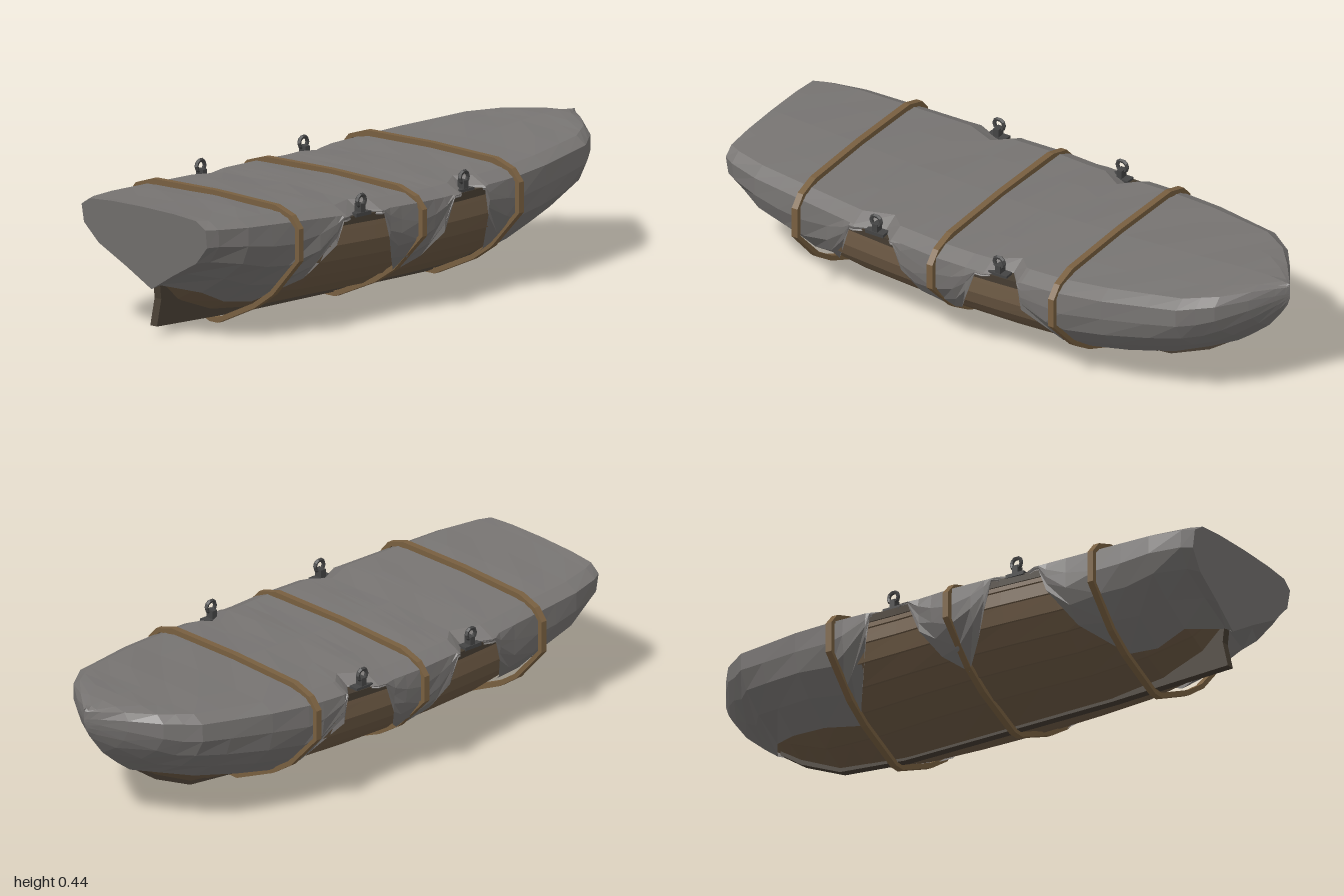
import * as THREE from 'three';

// Piecewise-linear lookup in a table of [x, value] pairs
function at(table, x) {
  if (x <= table[0][0]) return table[0][1];
  for (let i = 1; i < table.length; i++) {
    const [x0, v0] = table[i - 1], [x1, v1] = table[i];
    if (x <= x1) return v0 + (v1 - v0) * (x - x0) / (x1 - x0);
  }
  return table[table.length - 1][1];
}

// Lines of the boat along its length (bow at +x)
const KEEL = [[-0.95, 0.17], [-0.85, 0.1], [-0.7, 0.045], [-0.5, 0.022], [0.3, 0.016], [0.55, 0.042],
  [0.7, 0.11], [0.8, 0.175], [0.88, 0.235], [0.94, 0.29], [0.99, 0.37], [1, 0.4]];
const RIM = [[-0.95, 0.39], [-0.5, 0.365], [0, 0.36], [0.4, 0.37], [0.8, 0.4], [1, 0.42]];
const BEAM = [[-1, 0.285], [-0.97, 0.305], [-0.85, 0.338], [-0.66, 0.358], [-0.45, 0.378], [-0.12, 0.4],
  [0.2, 0.388], [0.34, 0.385], [0.5, 0.362], [0.75, 0.298], [0.85, 0.22], [0.92, 0.125], [1, 0]];
// Cover: crown height, lower edge, and how far it is pulled in at the oarlocks
const CROWN = [[-1, 0.435], [-0.66, 0.42], [-0.4, 0.408], [0, 0.4], [0.34, 0.41], [0.6, 0.425], [0.9, 0.445], [1, 0.435]];
const EDGE = [[-1, 0.17], [-0.93, 0.165], [-0.85, 0.145], [-0.75, 0.1], [-0.66, 0.09], [-0.55, 0.17], [-0.48, 0.28],
  [-0.455, 0.355], [-0.28, 0.355], [-0.25, 0.27], [-0.2, 0.19], [-0.12, 0.12], [-0.05, 0.17], [0, 0.25], [0.04, 0.355],
  [0.195, 0.355], [0.21, 0.27], [0.3, 0.13], [0.36, 0.085], [0.5, 0.115], [0.65, 0.14], [0.8, 0.172]];
const NOTCH = [[-0.44, 0], [-0.34, 0.052], [-0.29, 0], [0.07, 0], [0.15, 0.06], [0.2, 0]];
// Half section: height fraction to width fraction, drawn finer towards the ends
const SECTION = [[0, 0], [0.16, 0.45], [0.34, 0.7], [0.55, 0.9], [0.7, 0.98], [1, 1]];
const FINENESS = [[-1, 1.9], [-0.7, 1.15], [-0.4, 1], [0.2, 1], [0.5, 1.3], [0.8, 1.3], [1, 1.15]];
const breadth = (x, f) => Math.pow(at(SECTION, f), at(FINENESS, x));

const paint = (color) => new THREE.MeshStandardMaterial({ color, flatShading: true, side: THREE.DoubleSide });
const CLOTH = paint(0x777472), WOOD = paint(0x6b5843), DARK = paint(0x453c31),
  ROPE = paint(0x785f40), IRON = paint(0x444444);

function add(group, name, geometry, material) {
  const mesh = new THREE.Mesh(geometry, material);
  mesh.name = name;
  group.add(mesh);
  return mesh;
}

// Skin through rows of points
function skin(rows) {
  const n = rows[0].length, index = [];
  for (let i = 0; i < rows.length - 1; i++) {
    for (let j = 0; j < n - 1; j++) {
      const a = i * n + j, b = a + n;
      index.push(a, a + 1, b, a + 1, b + 1, b);
    }
  }
  const geometry = new THREE.BufferGeometry();
  geometry.setAttribute('position', new THREE.Float32BufferAttribute(rows.flat(2), 3));
  geometry.setIndex(index);
  const flat = geometry.toNonIndexed();
  flat.computeVertexNormals();
  return flat;
}

const flip = ([x, y, z]) => [x, y, -z];

// Overlapping planks: each plank's lower edge stands proud of the one below
function hullHalf(x) {
  const k = at(KEEL, x), g = at(RIM, x), b = Math.max(0.004, at(BEAM, x) - 0.022);
  const steps = [0, 0.13, 0.27, 0.42, 0.58, 0.74, 0.88, 1], half = [];
  for (let i = 0; i < steps.length - 1; i++) {
    for (const [f, out] of [[steps[i], i ? 0.009 : 0], [steps[i + 1], 0]]) {
      const y = k + (g - k) * f;
      half.push([x + (x < -0.9 ? (0.39 - y) * 0.1 : 0), y, b * breadth(x, f) + out]);
    }
  }
  return half;
}

// Cover from the crown out over the rim and down the side
function coverHalf(x) {
  const top = at(CROWN, x), w = at(BEAM, x) - at(NOTCH, x);
  const k = at(KEEL, x) - 0.015, g = at(RIM, x);
  const closed = x > 0.79 || x < -0.99;
  const edge = closed ? k : Math.max(at(EDGE, x), k);
  const rim = top - 0.035;
  const sag = 0.003 * Math.sin(x * 23);
  const half = [[x, top, 0], [x, top - 0.005 + sag, w * 0.5], [x, top - 0.01, w * 0.84], [x, rim, w * 0.98]];
  for (let j = 1; j <= 4; j++) {
    const y = rim + (edge - rim) * j / 4;
    const fold = closed ? 0 : 0.002 * Math.sin(x * 17 + j * 2.1);
    half.push([x, y, Math.max(0, w * breadth(x, (y - k) / (g - k)) + fold)]);
  }
  // The stern rakes forward towards its foot
  const rake = Math.max(0, -0.9 - x) * 1.5;
  return half.map(([px, y, z]) => [px + (0.435 - y) * rake, y, z]);
}

function shapeOf(points) {
  return new THREE.Shape(points.map(([x, y]) => new THREE.Vector2(x, y)));
}

// Flat band looped around hull and cover
function strap(x, w, top) {
  const ring = (inset) => {
    const s = w - inset, t = top - inset, bottom = inset;
    const half = [[0.05, bottom], [0.48, 0.075 + inset * 0.8], [0.69, 0.13 + inset * 0.6], [1, 0.26],
      [1, top - 0.07], [0.91, top - 0.03 - inset * 0.5], [0.72, t - 0.006], [0, t]].map(([f, y]) => [f * s, y]);
    return [...half, ...half.slice(0, -1).reverse().map(([z, y]) => [-z, y])];
  };
  const shape = shapeOf(ring(0));
  shape.holes.push(shapeOf(ring(0.018)));
  const geometry = new THREE.ExtrudeGeometry(shape, { depth: 0.022, bevelEnabled: false });
  return geometry.translate(0, 0, -0.011).rotateY(Math.PI / 2).translate(x, 0, 0);
}

export function createModel() {
  const boat = new THREE.Group();
  boat.name = 'coveredBoat';

  // Planked hull and transom
  const hullX = [-0.95, -0.85, -0.7, -0.5, -0.3, -0.1, 0.1, 0.3, 0.45, 0.55, 0.63, 0.7, 0.75, 0.8, 0.88, 0.94];
  const halves = hullX.map(hullHalf);
  add(boat, 'hull', skin(halves.map((h) => [...h.slice().reverse(), ...h.map(flip)])), WOOD);
  add(boat, 'transom', skin([halves[0], halves[0].map(flip)]), DARK);

  // Gunwales: a squared rail along each side
  for (const side of [1, -1]) {
    const rows = hullX.slice(0, -3).map((x) => {
      const z = at(BEAM, x) - 0.022, y = at(RIM, x);
      return [[0.008, 0], [0.008, -0.025], [-0.06, -0.025], [-0.06, 0], [0.008, 0]]
        .map(([dz, dy]) => [x + (x < -0.9 ? 0.01 : 0), y + dy, side * (z + dz)]);
    });
    add(boat, side > 0 ? 'frontGunwale' : 'backGunwale', skin(rows), DARK);
  }

  // Keel with its deep stern skeg
  const keel = new THREE.ExtrudeGeometry(shapeOf([[-0.935, 0.18], [-0.928, 0.12], [-0.948, 0.032], [-0.5, 0.016],
    [0.3, 0.012], [0.55, 0.035], [0.7, 0.1], [0.78, 0.155], [0.78, 0.18], [0.55, 0.07], [0.3, 0.05], [-0.5, 0.06],
    [-0.8, 0.13]]), { depth: 0.03, bevelEnabled: false });
  add(boat, 'keel', keel.translate(0, 0, -0.015), DARK);

  // Cloth cover with side flaps, closed at bow and stern
  const coverX = [-1, -0.96, -0.85, -0.75, -0.66, -0.55, -0.48, -0.455, -0.44, -0.34, -0.29, -0.28, -0.25, -0.2, -0.12,
    -0.05, 0, 0.04, 0.07, 0.15, 0.195, 0.21, 0.3, 0.36, 0.5, 0.65, 0.75, 0.8, 0.85, 0.92, 0.97, 0.99, 1];
  const cover = coverX.map(coverHalf);
  add(boat, 'cover', skin(cover.map((h) => [...h.slice(1).reverse().map(flip), ...h])), CLOTH);
  add(boat, 'coverSternFace', skin([cover[0].map(flip), cover[0]]), CLOTH);

  // Three straps
  [[-0.66, 0.385, 0.437], [-0.12, 0.415, 0.418], [0.34, 0.402, 0.432]].forEach(([x, w, top], i) => {
    add(boat, 'strap' + (i + 1), strap(x, w, top), ROPE);
  });

  // Oarlocks: a thick ring on a short post and plate
  for (const side of [1, -1]) {
    for (const x of [-0.36, 0.115]) {
      const lock = new THREE.Group();
      lock.name = 'oarlock';
      add(lock, 'plate', new THREE.BoxGeometry(0.07, 0.012, 0.035), IRON).position.y = 0.366;
      add(lock, 'post', new THREE.BoxGeometry(0.02, 0.035, 0.03), IRON).position.y = 0.382;
      const ring = add(lock, 'ring', new THREE.TorusGeometry(0.019, 0.007, 5, 10), IRON);
      ring.position.set(0, 0.409, side * 0.005);
      lock.position.set(x, 0, side * 0.357);
      boat.add(lock);
    }
  }
  return boat;
}
